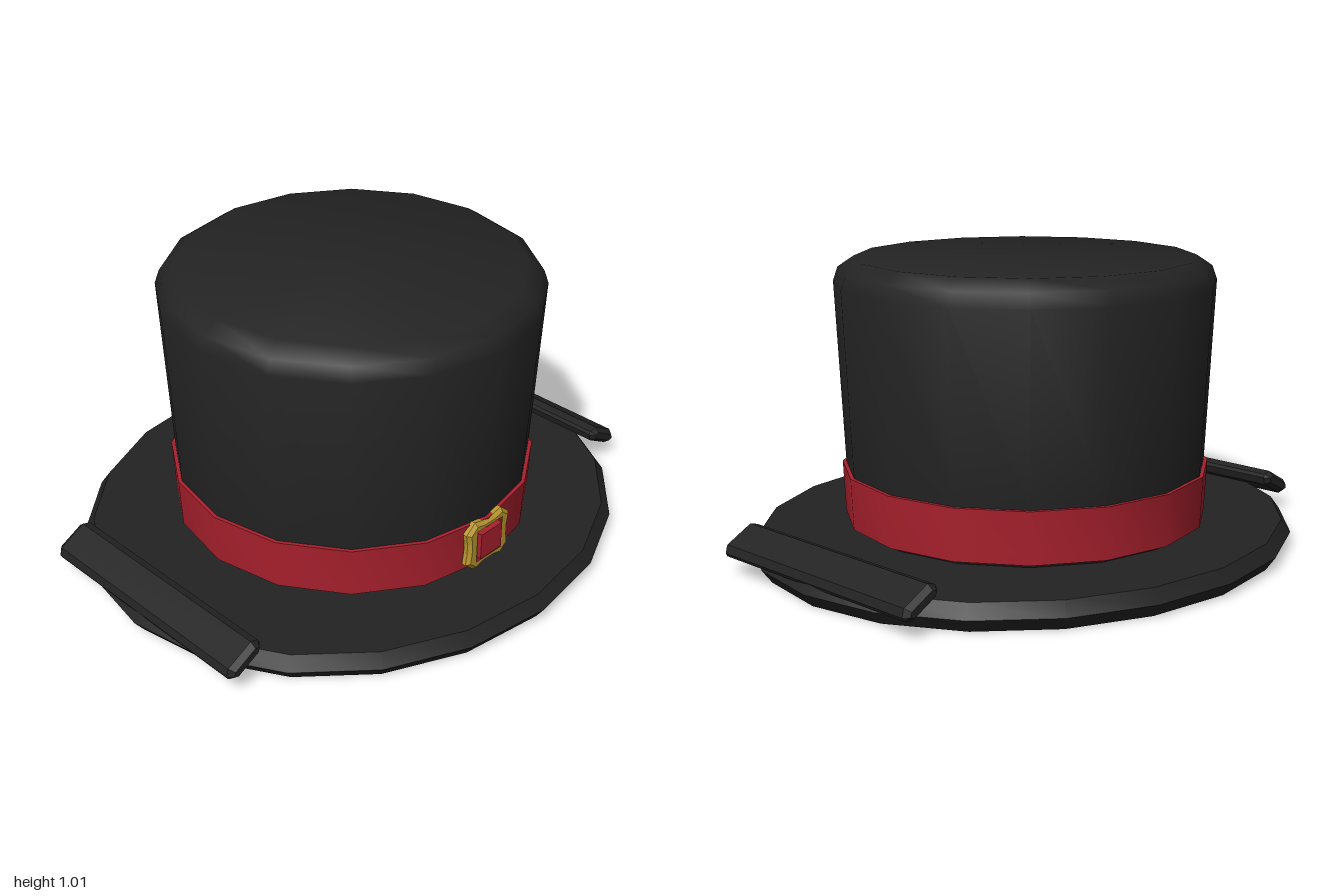
import * as THREE from 'three';
import { toCreasedNormals } from 'three/addons/utils/BufferGeometryUtils.js';

const mat = (name, color) => {
  const m = new THREE.MeshStandardMaterial({ color });
  m.name = name;
  return m;
};

export function createModel() {
  const felt = mat('black felt', 0x232323);
  const ribbon = mat('red ribbon', 0xa8202d);
  const brass = mat('brass', 0xb8962e);
  const hat = new THREE.Group();
  hat.name = 'topHat';

  const add = (name, geometry, material, parent = hat) => {
    const mesh = new THREE.Mesh(geometry, material);
    mesh.name = name;
    parent.add(mesh);
    return mesh;
  };
  // turned part from [radius, height] pairs, listed bottom to top
  const turned = (profile, sides, crease, scaleX = 1) => {
    const g = new THREE.LatheGeometry(profile.map(([r, y]) => new THREE.Vector2(r, y)), sides);
    g.scale(scaleX, 1, 1);
    return toCreasedNormals(g, crease);
  };
  const shapeOf = (points) => new THREE.Shape(points.map(([x, y]) => new THREE.Vector2(x, y)));

  // oval brim with a bevelled rim
  add('brim', turned([[0, 0], [0.965, 0], [1, 0.046], [0.965, 0.092], [0, 0.092]], 20, 0.6, 0.9), felt);

  // crown flaring slightly towards a rounded top edge
  add('crown', turned([[0.595, 0.085], [0.612, 0.11], [0.632, 0.29], [0.662, 0.93],
    [0.645, 0.978], [0.59, 1.015], [0, 1.015]], 16, 0.75), felt);

  // ribbon band
  add('band', turned([[0.6, 0.11], [0.637, 0.11], [0.645, 0.29], [0.62, 0.29]], 16, 0.6), ribbon);

  // sloping rolled flaps at the front and back of the brim
  const c = 0.012, u = 0.06, v = 0.0125;
  const flap = new THREE.ExtrudeGeometry(shapeOf([[-u, -v + c], [-u + c, -v], [u - c, -v], [u, -v + c],
    [u, v - c], [u - c, v], [-u + c, v], [-u, v - c]]),
  { depth: 0.87, bevelSize: 0.015, bevelThickness: 0.02, bevelSegments: 1 });
  flap.translate(0, 0, -0.435);
  flap.rotateY(Math.PI / 2);
  flap.rotateX(0.5);
  flap.translate(0, 0.107, 0.91);
  add('frontFlap', flap, felt);
  add('backFlap', flap, felt).rotation.y = Math.PI;

  // buckle on the left side, with waisted edges and a square opening
  const buckle = new THREE.Group();
  buckle.name = 'buckle';
  const quarter = [[0.025, 0.073], [0.062, 0.082], [0.092, 0.056], [0.086, 0.02]];
  const flip = (sx, sy) => quarter.map(([x, y]) => [x * sx, y * sy]);
  const frame = shapeOf([...flip(1, 1), ...flip(1, -1).reverse(), ...flip(-1, -1), ...flip(-1, 1).reverse()]);
  const h = 0.062;
  frame.holes.push(new THREE.Path([[-h, -h], [-h, h], [h, h], [h, -h]].map(([x, y]) => new THREE.Vector2(x, y))));
  const frameGeo = new THREE.ExtrudeGeometry(frame,
    { depth: 0.015, bevelSize: 0.012, bevelThickness: 0.012, bevelSegments: 1 });
  frameGeo.rotateY(Math.PI / 2);
  add('buckleFrame', frameGeo, brass, buckle).position.set(0.626, 0.204, 0);
  add('buckleCentre', new THREE.BoxGeometry(0.04, 0.098, 0.104), ribbon, buckle).position.set(0.642, 0.204, 0);
  hat.add(buckle);

  return hat;
}
